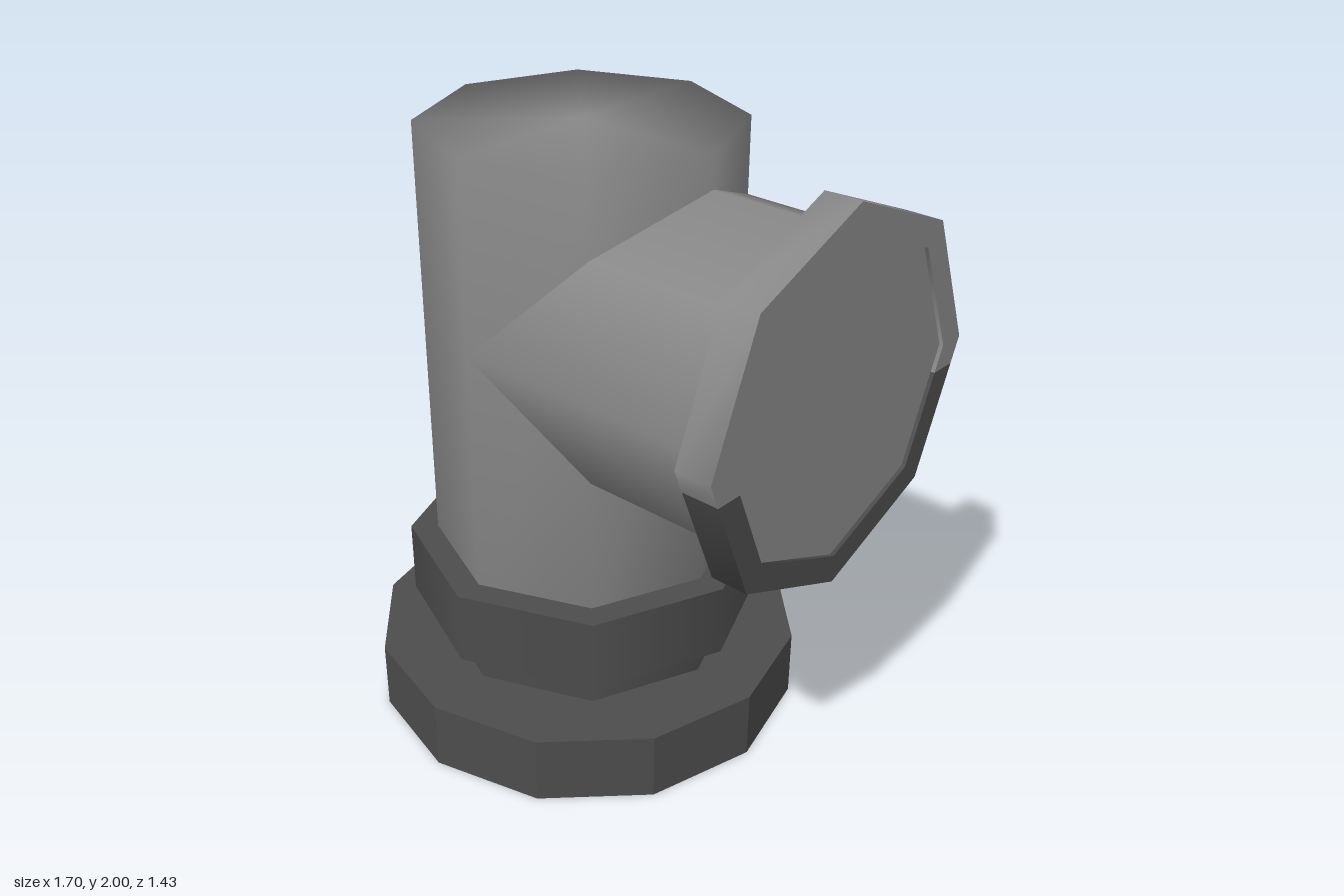
import * as THREE from 'three';
import { mergeVertices, toCreasedNormals } from 'three/addons/utils/BufferGeometryUtils.js';

const AXIS_X = -0.14;   // centre line of the upright pipe
const BRANCH_Y = 1.4;   // centre line of the side branch

export function createModel() {
  const model = new THREE.Group();
  model.name = 'pipeTee';

  const pipeGrey = new THREE.MeshStandardMaterial({ color: 0x888888 });
  pipeGrey.name = 'pipe grey';
  const darkGrey = new THREE.MeshStandardMaterial({ color: 0x4c4c4c });
  darkGrey.name = 'dark grey';

  const add = (name, geometry, material) => {
    const mesh = new THREE.Mesh(geometry, material);
    mesh.name = name;
    model.add(mesh);
    return mesh;
  };

  // Upright prism between two heights
  const upright = (radius, y0, y1, sides) =>
    new THREE.CylinderGeometry(radius, radius, y1 - y0, sides)
      .translate(AXIS_X, (y0 + y1) / 2, 0);

  // Base flange, neck and collar
  add('baseFlange', toCreasedNormals(upright(0.715, 0, 0.23, 12), 0.1), darkGrey);
  add('neck', upright(0.5, 0.2, 0.36, 8), darkGrey);
  add('collar', upright(0.59, 0.35, 0.595, 8), darkGrey);

  // Upright pipe, its closed top shaded smoothly into the wall
  let pipe = upright(0.5, 0.36, 2, 8);
  pipe.deleteAttribute('uv');
  pipe.deleteAttribute('normal');
  pipe = mergeVertices(pipe);
  pipe.computeVertexNormals();
  add('uprightPipe', pipe, pipeGrey);

  // Side branch, ending just inside its flange
  const start = AXIS_X, end = 0.835;
  const branch = new THREE.CylinderGeometry(0.5, 0.5, end - start, 8);
  branch.rotateZ(-Math.PI / 2).translate((start + end) / 2, BRANCH_Y, 0);
  add('sideBranch', branch, pipeGrey);

  // Octagonal arc from corner a to corner b, ending on the colour line below the axis
  const cut = -0.08;
  const arc = (radius, upper) => {
    const corner = (i) => new THREE.Vector2(
      radius * Math.cos(i * Math.PI / 4), radius * Math.sin(i * Math.PI / 4));
    const edgeX = radius + cut * Math.tan(Math.PI / 8);
    const right = new THREE.Vector2(edgeX, cut), left = new THREE.Vector2(-edgeX, cut);
    return upper
      ? [right, ...[0, 1, 2, 3, 4].map(corner), left]
      : [left, ...[5, 6, 7].map(corner), right];
  };

  // Branch flange ring, upper part light and lower part dark
  for (const upper of [true, false]) {
    const shape = new THREE.Shape([...arc(0.59, upper), ...arc(0.5, upper).reverse()]);
    const ring = new THREE.ExtrudeGeometry(shape, { depth: 0.12, bevelEnabled: false });
    ring.rotateY(Math.PI / 2).translate(0.728, BRANCH_Y, 0);
    add(upper ? 'branchFlangeUpper' : 'branchFlangeLower',
      toCreasedNormals(ring, 0.9), upper ? pipeGrey : darkGrey);
  }

  return model;
}
